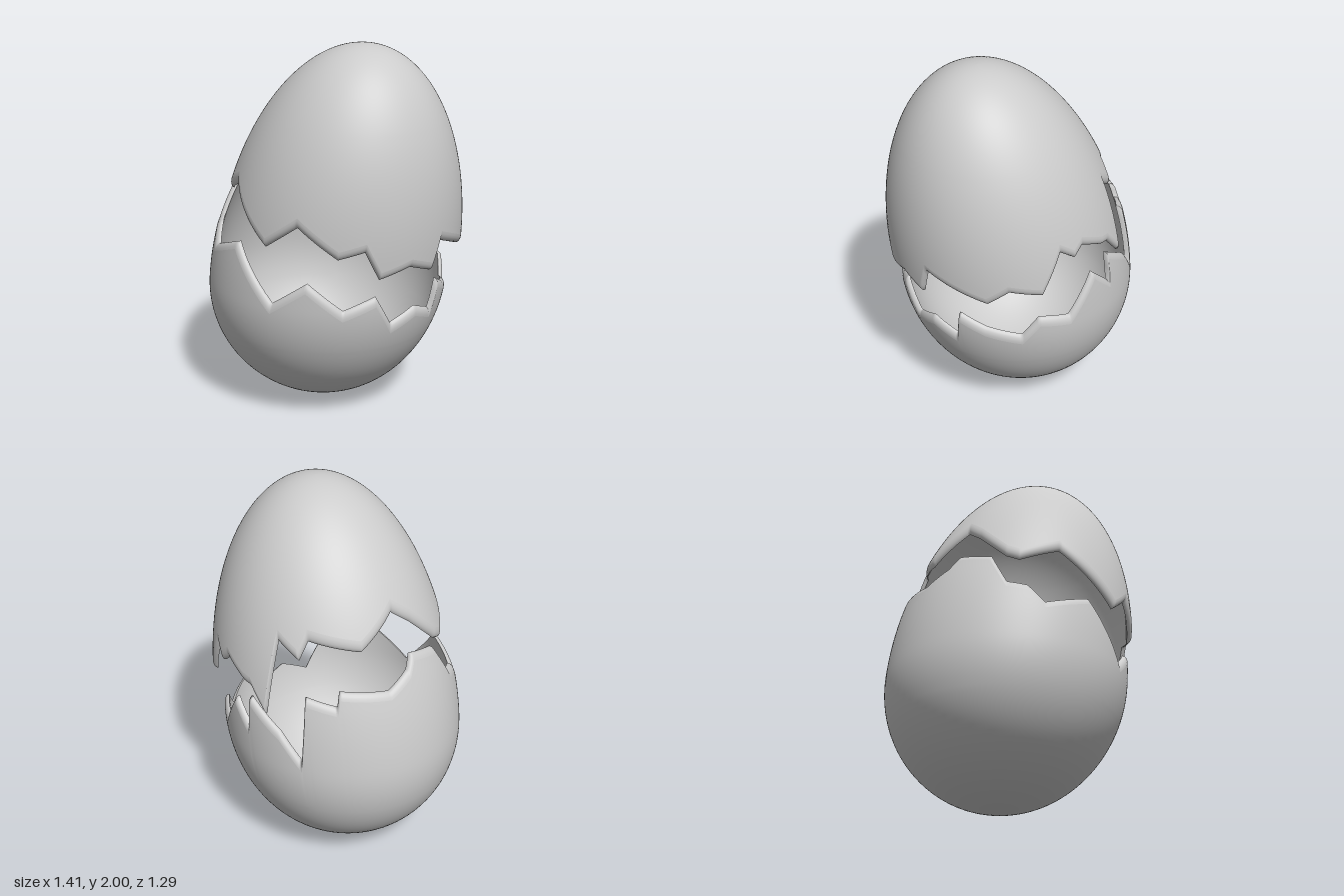
import * as THREE from 'three';

const COLUMNS = 360;
const WALL = 0.955; // inner surface as a share of the outer one
const BEVEL = 0.05; // height over which the broken edge curls inwards

// Crack lines as [azimuth in degrees from +x towards +z, height]
const LOWER_CRACK = [
  [-172, 1.27], [-167, 1.2], [-154, 1.13], [-129, 1.16], [-127, 1.08], [-112, 1.12],
  [-107, 0.75], [-97, 0.9], [-80, 1.03], [-78, 0.85], [-68, 0.97], [-52, 0.745],
  [-37, 0.775], [-28, 0.655], [-11, 0.7], [2, 0.765], [5, 0.595], [19, 0.655],
  [33, 0.59], [43, 0.765], [58, 0.695], [76, 0.85], [92, 0.715], [118, 1.01],
  [141, 0.92], [150, 1.02], [160, 1.04], [170, 1.23],
];
const UPPER_CRACK = [
  [-177, 1.4], [-166, 1.48], [-144, 1.33], [-117, 1.39], [-112, 1.29], [-101, 1.37],
  [-94, 0.97], [-86, 1.09], [-81, 1.1], [-68, 1.17], [-62, 1.12], [-55, 1.18],
  [-42, 0.95], [-27, 0.99], [-16, 0.91], [14, 1.03], [19, 0.87], [32, 0.92],
  [47, 0.87], [55, 1.03], [67, 0.99], [88, 1.15], [103, 1.02], [138, 1.29],
  [158, 1.2], [165, 1.23],
];

// Leaning egg sections: centre x, centre z and radii in x and z at a height
const lowerSection = (y) => {
  const t = (y - 0.7) / (y < 0.7 ? 0.7 : 1.25);
  const s = Math.sqrt(Math.max(0, 1 - t * t));
  return [-0.09 + 0.09 * y * y, -0.03 + 0.035 * y, 0.658 * s, 0.642 * s];
};
const upperSection = (y) => {
  const t = (y - 0.8) / 1.2;
  const s = Math.sqrt(Math.max(0, 1 - t * t));
  return [0.01 + 0.158 * (y - 0.8), -0.005 + 0.08 * (y - 0.8), 0.668 * s, 0.648 * s];
};

// Height of a crack line at an angle, straight between its points
function crackHeight(crack, deg) {
  const n = crack.length;
  for (let i = 0; i < n; i++) {
    const [a, ya] = crack[i];
    let [b, yb] = crack[(i + 1) % n];
    if (b < a) b += 360;
    const d = deg < a ? deg + 360 : deg;
    if (d >= a && d <= b) return THREE.MathUtils.lerp(ya, yb, (d - a) / (b - a));
  }
  return crack[0][1];
}

// Closed band of quads; point(column, v) gives a position, v from 0 to 1
function band(rows, point, flip) {
  const positions = [];
  const index = [];
  for (let j = 0; j <= rows; j++) {
    for (let i = 0; i < COLUMNS; i++) {
      positions.push(...point(i, j / rows).toArray());
      if (j === rows) continue;
      const a = j * COLUMNS + i;
      const b = j * COLUMNS + ((i + 1) % COLUMNS);
      const c = a + COLUMNS;
      const d = b + COLUMNS;
      if (flip) index.push(a, b, c, b, d, c);
      else index.push(a, c, b, b, c, d);
    }
  }
  const geometry = new THREE.BufferGeometry();
  geometry.setAttribute('position', new THREE.Float32BufferAttribute(positions, 3));
  geometry.setIndex(index);
  geometry.computeVertexNormals();
  return geometry;
}

function shellHalf({ name, section, crack, pole, level, centre, material }) {
  const half = new THREE.Group();
  half.name = name;
  const edges = Array.from({ length: COLUMNS }, (_, i) => crackHeight(crack, i > 180 ? i - 360 : i));
  const towardsEdge = Math.sign(level - pole);

  // Point on the egg at a height, shrunk towards the centre by a scale
  const at = (i, y, scale) => {
    const [cx, cz, rx, rz] = section(y);
    const a = (i / COLUMNS) * Math.PI * 2;
    const p = new THREE.Vector3(cx + rx * Math.cos(a), y, cz + rz * Math.sin(a));
    return p.sub(centre).multiplyScalar(scale).add(centre);
  };
  // Level rings from the pole, then rings that spread to follow the crack
  const wall = (i, v, end, scale) => {
    const y = v < 0.6
      ? pole + (level - pole) * (1 - Math.cos((v / 0.6) * Math.PI / 2))
      : THREE.MathUtils.lerp(level, end, (v - 0.6) / 0.4);
    return at(i, y, scale);
  };
  const outer = (i, v) => wall(i, v, edges[i] - towardsEdge * BEVEL, 1);
  const inner = (i, v) => wall(i, 1 - v, edges[i], WALL);
  const rim = (i, v) => {
    const a = (v * Math.PI) / 2;
    const y = edges[i] - towardsEdge * BEVEL * (1 - Math.sin(a));
    return at(i, y, 1 - (1 - WALL) * (1 - Math.cos(a)));
  };

  const flip = towardsEdge < 0;
  const parts = [
    ['outerShell', band(40, outer, flip)],
    ['brokenRim', band(6, rim, flip)],
    ['innerShell', band(30, inner, flip)],
  ];
  for (const [partName, geometry] of parts) {
    const mesh = new THREE.Mesh(geometry, material);
    mesh.name = partName;
    half.add(mesh);
  }
  return half;
}

export function createModel() {
  const material = new THREE.MeshStandardMaterial({ color: 0xcccccc, side: THREE.DoubleSide });
  const egg = new THREE.Group();
  egg.name = 'crackedEgg';
  egg.add(
    shellHalf({
      name: 'lowerHalf', section: lowerSection, crack: LOWER_CRACK,
      pole: 0, level: 0.45, centre: new THREE.Vector3(-0.04, 0.8, 0), material,
    }),
    shellHalf({
      name: 'upperHalf', section: upperSection, crack: UPPER_CRACK,
      pole: 2, level: 1.6, centre: new THREE.Vector3(0.04, 1.0, 0), material,
    }),
  );
  return egg;
}
